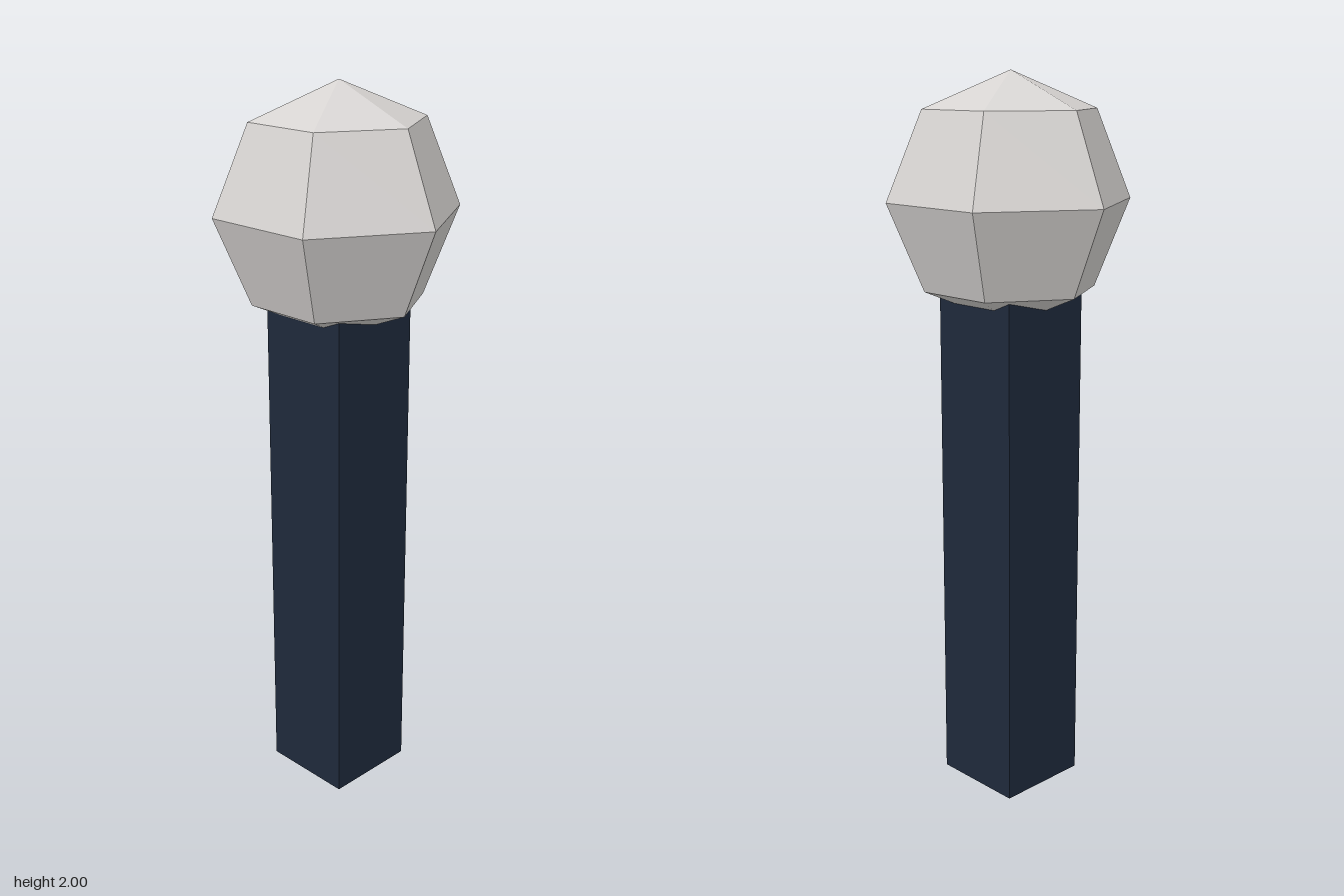
import * as THREE from 'three';

export function createModel() {
  const model = new THREE.Group();
  model.name = 'bollard';

  const navy = new THREE.MeshStandardMaterial({ color: 0x1e293b });
  navy.name = 'dark navy';
  const stone = new THREE.MeshStandardMaterial({ color: 0xd6d3d1 });
  stone.name = 'pale stone';
  stone.flatShading = true;

  // Square post, its top end sunk into the knob
  const postHeight = 1.5;
  const post = new THREE.Mesh(new THREE.BoxGeometry(0.27, postHeight, 0.27), navy);
  post.name = 'post';
  post.position.y = postHeight / 2;
  model.add(post);

  // Faceted six-sided knob
  const radius = 1 / 3;
  const knob = new THREE.Mesh(new THREE.SphereGeometry(radius, 6, 4), stone);
  knob.name = 'knob';
  knob.position.y = 2 - radius;
  model.add(knob);

  return model;
}
